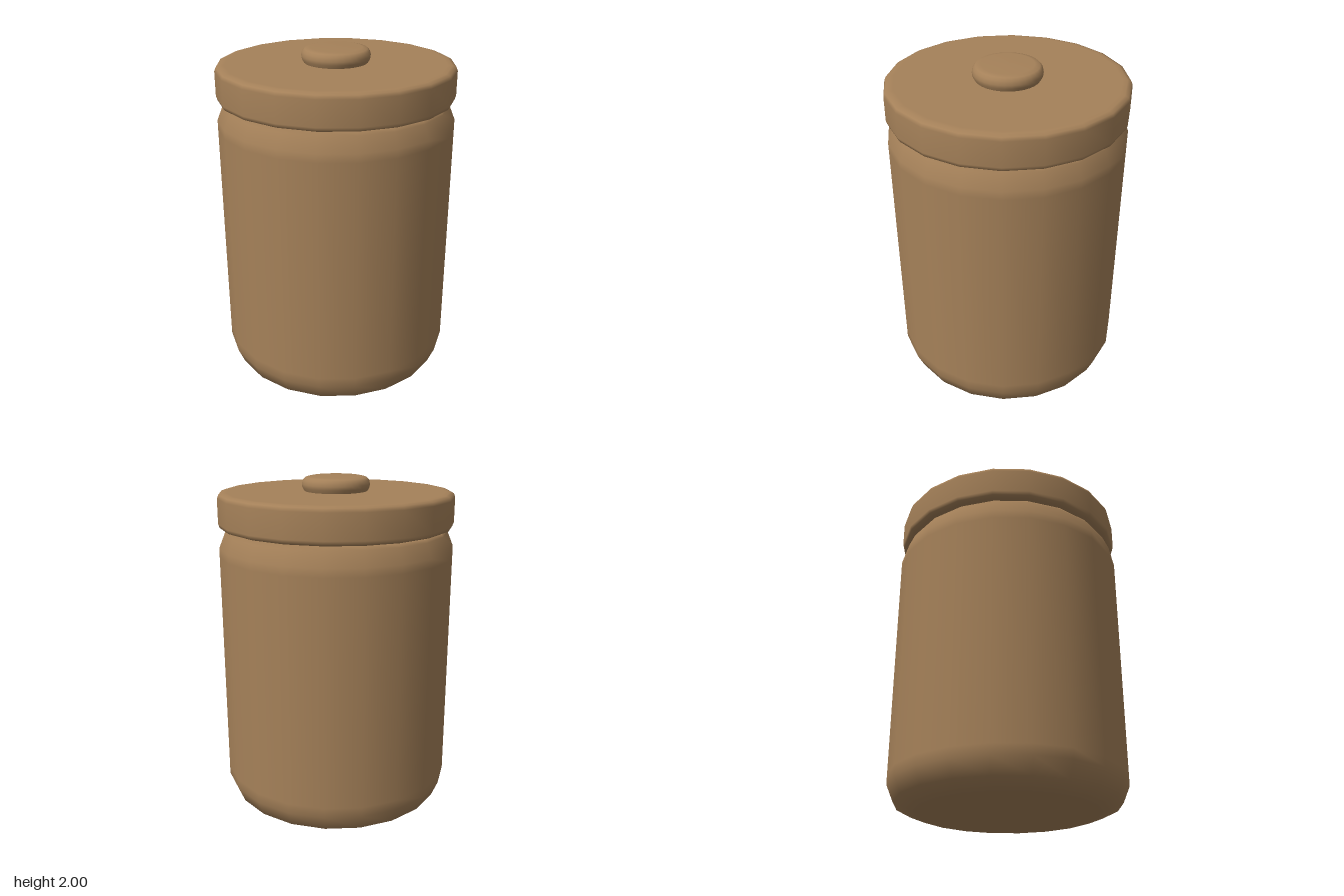
import * as THREE from 'three';

const clay = new THREE.MeshStandardMaterial({ color: 0xa58159 });
clay.name = 'brown clay';

// Smooth turned part from a profile of [radius, height], bottom to top
function turned(name, profile, sides) {
  const points = profile.map(([r, y]) => new THREE.Vector2(r, y));
  const mesh = new THREE.Mesh(new THREE.LatheGeometry(points, sides), clay);
  mesh.name = name;
  return mesh;
}

export function createModel() {
  const jar = new THREE.Group();
  jar.name = 'lidded jar';

  // Body with a rounded foot and a tapered shoulder
  jar.add(turned('body', [
    [0, 0], [0.52, 0], [0.555, 0.005], [0.655, 0.045], [0.695, 0.14],
    [0.695, 0.2], [0.695, 1.55], [0.695, 1.6], [0.66, 1.685], [0.645, 1.705], [0, 1.705],
  ], 20));

  // Flat lid with softened rims
  jar.add(turned('lid', [
    [0, 1.708], [0.64, 1.708], [0.665, 1.71], [0.687, 1.718], [0.695, 1.74],
    [0.695, 1.885], [0.687, 1.906], [0.665, 1.914], [0.64, 1.915], [0, 1.915],
  ], 20));

  // Button knob
  jar.add(turned('knob', [
    [0, 1.9], [0.18, 1.9], [0.185, 1.915], [0.197, 1.935], [0.2, 1.955],
    [0.194, 1.978], [0.18, 1.992], [0.15, 1.999], [0, 2],
  ], 32));

  return jar;
}
